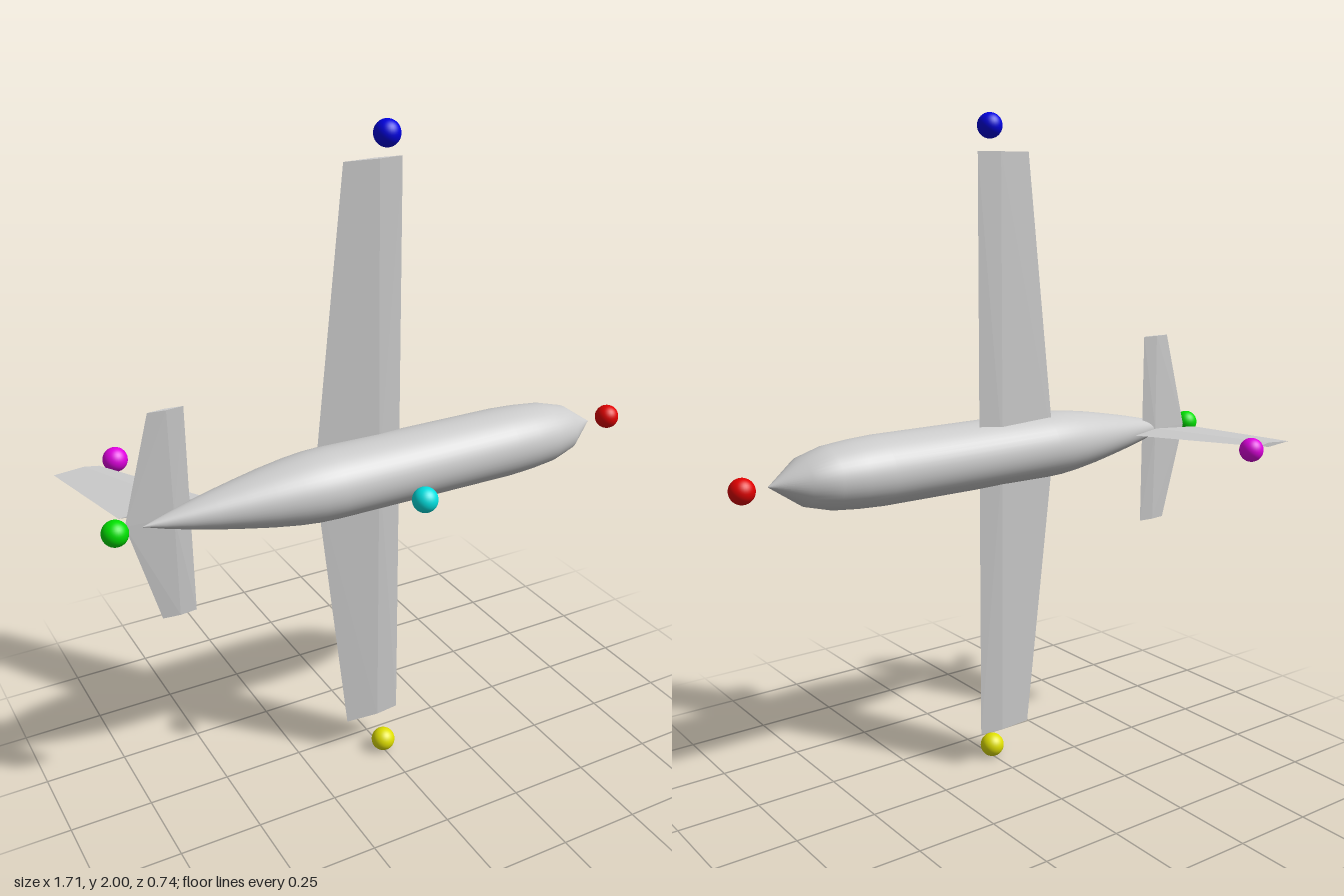
import * as THREE from 'three';
import { ConvexGeometry } from 'three/addons/geometries/ConvexGeometry.js';

const material = (name, color) => new THREE.MeshStandardMaterial({ name, color });

export function createModel() {
  const group = new THREE.Group();
  const grey = material('light grey', 0xcccccc);
  const add = (name, geometry, mat) => {
    const mesh = new THREE.Mesh(geometry, mat);
    mesh.name = name;
    group.add(mesh);
    return mesh;
  };
  const V = (x, y, z) => new THREE.Vector3(x, y, z);

  // Fuselage: pointed body of revolution along x, slightly deeper in z
  const profile = [
    [0, -0.74], [0.018, -0.68], [0.036, -0.61], [0.052, -0.54], [0.068, -0.46],
    [0.083, -0.38], [0.095, -0.3], [0.101, -0.24], [0.103, -0.18], [0.103, 0.4],
    [0.099, 0.48], [0.091, 0.56], [0.069, 0.64], [0, 0.74],
  ].map(([r, a]) => new THREE.Vector2(r, a));
  const body = new THREE.LatheGeometry(profile, 48);
  body.rotateZ(-Math.PI / 2);
  body.scale(1, 1, 1.14);
  body.translate(0, 1, 0.11);
  add('fuselage', body, grey);

  // Diamond cross-section of a wing: trailing edge, leading edge and two crests
  const section = (trail, lead, crest, half, place) => [
    place(trail, 0), place(lead, 0), place(crest, half), place(crest, -half),
  ];

  // Wing and tailplane: widest at the middle, tapering to both tips along y
  const surface = (name, z, span, lead, rootTrail, tipTrail, crest, rootHalf, tipHalf) => {
    const points = section(rootTrail, lead, crest, rootHalf, (x, t) => V(x, 1, z + t));
    for (const side of [-1, 1]) {
      points.push(...section(tipTrail, lead, crest, tipHalf, (x, t) => V(x, 1 + side * span, z + t)));
    }
    add(name, new ConvexGeometry(points), grey);
  };
  surface('wing', 0.063, 0.89, 0.075, -0.205, -0.105, 0, 0.014, 0.009);
  surface('tailplane', 0.087, 0.31, -0.595, -0.78, -0.695, -0.645, 0.01, 0.006);

  // Swept tail fin reaching backwards in z
  add('tailFin', new ConvexGeometry([
    ...section(-0.78, -0.52, -0.61, 0.013, (x, t) => V(x, 1 + t, 0.035)),
    ...section(-0.855, -0.72, -0.765, 0.007, (x, t) => V(x, 1 + t, -0.315)),
  ]), grey);

  // Coloured marker balls around the aircraft
  const ball = new THREE.SphereGeometry(0.037, 32, 20);
  for (const [colour, hex, x, y, z] of [
    ['red', 0xe00000, 0.815, 1, 0.11],
    ['green', 0x00e000, -0.815, 1, 0.11],
    ['blue', 0x0000e0, 0, 1.963, 0.11],
    ['yellow', 0xe0e000, 0, 0.037, 0.11],
    ['cyan', 0x00e0e0, 0, 1, 0.335],
    ['magenta', 0xe000e0, -0.665, 1, -0.335],
  ]) {
    add(colour + 'Marker', ball, material(colour, hex)).position.set(x, y, z);
  }

  return group;
}
